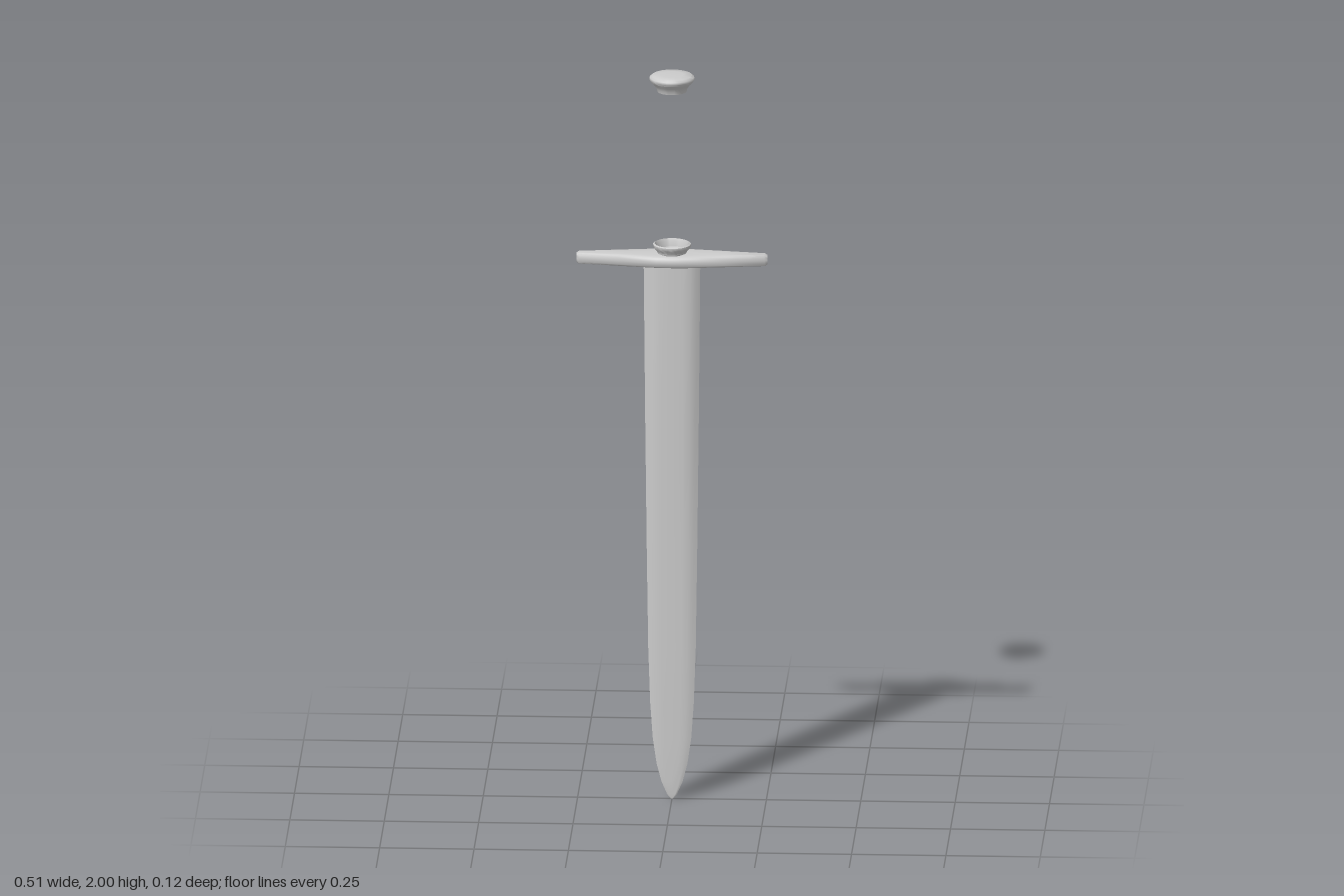
import * as THREE from 'three';
import { toCreasedNormals } from 'three/addons/utils/BufferGeometryUtils.js';

const material = new THREE.MeshStandardMaterial({ color: 0xcccccc, side: THREE.DoubleSide });

function addPart(group, name, geometry, crease) {
  const mesh = new THREE.Mesh(crease ? toCreasedNormals(geometry, crease) : geometry, material);
  mesh.name = name;
  group.add(mesh);
}

// Skin a list of equal-length rings of Vector3, ordered along the part, and cap both ends
function loft(rings) {
  const n = rings[0].length, positions = [], index = [];
  rings.forEach(ring => ring.forEach(p => positions.push(p.x, p.y, p.z)));
  for (let r = 0; r < rings.length - 1; r++) {
    for (let i = 0; i < n; i++) {
      const a = r * n + i, b = r * n + (i + 1) % n;
      index.push(a, b, b + n, a, b + n, a + n);
    }
  }
  const last = (rings.length - 1) * n;
  for (let i = 1; i < n - 1; i++) {
    index.push(0, i + 1, i, last, last + i, last + i + 1);
  }
  const geometry = new THREE.BufferGeometry();
  geometry.setAttribute('position', new THREE.Float32BufferAttribute(positions, 3));
  geometry.setIndex(index);
  geometry.computeVertexNormals();
  return geometry;
}

// Blade: sharp-edged section with a broad flat middle, running to a rounded point
function bladeGeometry() {
  const stations = [ // y, half width, half thickness
    [0.003, 0.003, 0.001], [0.015, 0.013, 0.002], [0.05, 0.028, 0.003], [0.1, 0.041, 0.005],
    [0.17, 0.051, 0.006], [0.27, 0.058, 0.008], [0.42, 0.063, 0.010], [0.7, 0.067, 0.013],
    [1.05, 0.071, 0.018], [1.48, 0.075, 0.024],
  ];
  const half = [[1, 0], [0.86, 0.45], [0.66, 0.85], [0.4, 1], [0, 1], [-0.4, 1], [-0.66, 0.85], [-0.86, 0.45]];
  const section = [...half, ...half.map(([x, z]) => [-x, -z])];
  return loft(stations.map(([y, w, t]) => section.map(([x, z]) => new THREE.Vector3(x * w, y, -z * t))));
}

// Crossguard: slim bar, wide in the middle, tapering to blunt ends
function guardGeometry() {
  const stations = [ // x, half depth, half height
    [-0.253, 0.009, 0.012], [-0.246, 0.014, 0.016], [-0.14, 0.032, 0.017], [-0.04, 0.049, 0.0175],
    [0, 0.051, 0.0175],
    [0.04, 0.049, 0.0175], [0.14, 0.032, 0.017], [0.246, 0.014, 0.016], [0.253, 0.009, 0.012],
  ];
  const section = [];
  for (let i = 0; i < 20; i++) {
    const a = (i / 20) * Math.PI * 2, c = Math.cos(a), s = Math.sin(a);
    section.push([Math.sign(c) * Math.abs(c) ** 0.5, Math.sign(s) * Math.abs(s) ** 0.5]);
  }
  return loft(stations.map(([x, d, h]) => section.map(([u, v]) => new THREE.Vector3(x, 1.4925 + u * h, v * d))));
}

function lathe(points) {
  return new THREE.LatheGeometry(points.map(([r, y]) => new THREE.Vector2(r, y)), 32);
}

export function createModel() {
  const group = new THREE.Group();
  group.name = 'sword';

  addPart(group, 'blade', bladeGeometry(), 0.6);
  addPart(group, 'crossguard', guardGeometry(), 0.8);

  // Open collar above the guard, flaring upward
  addPart(group, 'collar', lathe([
    [0.036, 1.5], [0.039, 1.512], [0.046, 1.521], [0.05, 1.526], [0.05, 1.533], [0.046, 1.535], [0.043, 1.528],
    [0.04, 1.512],
  ]), 0.7);

  // Hollow, shallow-domed pommel floating at the top
  addPart(group, 'pommel', lathe([
    [0.039, 1.954], [0.041, 1.962], [0.047, 1.972], [0.056, 1.981], [0.06, 1.987], [0.059, 1.993],
    [0.053, 1.998], [0.03, 2], [0, 2],
  ]), 0.8);

  return group;
}
